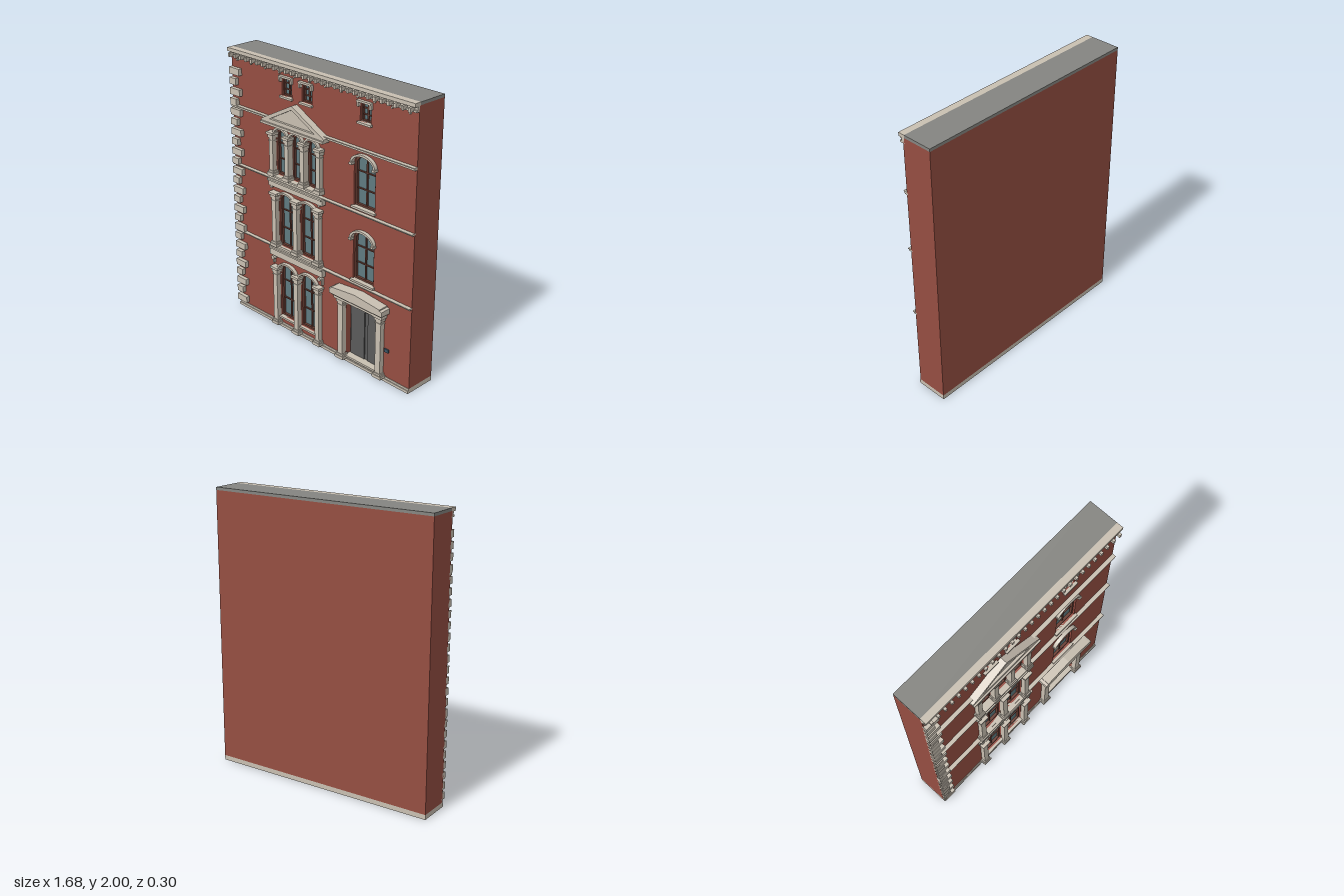
import * as THREE from 'three';

const mat = (name, color, side = THREE.FrontSide) => {
  const m = new THREE.MeshStandardMaterial({ color, side });
  m.name = name;
  return m;
};

export function createModel() {
  const brick = mat('brick', 0x954e42);
  const stone = mat('stone', 0xc9c0b2);
  const roofGrey = mat('roofGrey', 0x858581);
  const glass = mat('glass', 0x5f7a80);
  const wood = mat('frameBrown', 0x6a3f34);
  const doorGrey = mat('doorGrey', 0x5b5b5b);
  const plateBlue = mat('plateBlue', 0x3f5666);

  const root = new THREE.Group();
  root.name = 'townhouse';
  const WALL = 0.072, BACK = -0.153, HALF = 0.842;

  const add = (name, geo, m, parent = root) => {
    const mesh = new THREE.Mesh(geo, m);
    mesh.name = name;
    parent.add(mesh);
    return mesh;
  };
  const group = (name) => {
    const g = new THREE.Group();
    g.name = name;
    root.add(g);
    return g;
  };
  // Box given by its limits on each axis
  const box = (name, x0, x1, y0, y1, z0, z1, m = stone, parent = root) => {
    const b = add(name, new THREE.BoxGeometry(x1 - x0, y1 - y0, z1 - z0), m, parent);
    b.position.set((x0 + x1) / 2, (y0 + y1) / 2, (z0 + z1) / 2);
    return b;
  };
  const extrude = (name, shape, z0, z1, m = stone, parent = root) => {
    const e = add(name, new THREE.ExtrudeGeometry(shape, { depth: z1 - z0, bevelEnabled: false, curveSegments: 12 }), m, parent);
    e.position.z = z0;
    return e;
  };
  const poly = (pts) => new THREE.Shape(pts.map(([x, y]) => new THREE.Vector2(x, y)));
  // Opening outline: straight jambs with an elliptical head (rise 0 = rectangle)
  const opening = (P, cx, w, y0, y1, rise) => {
    const p = new P();
    p.moveTo(cx - w / 2, y0);
    p.lineTo(cx + w / 2, y0);
    p.lineTo(cx + w / 2, y1 - rise);
    if (rise) p.absellipse(cx, y1 - rise, w / 2, rise, 0, Math.PI, false);
    else p.lineTo(cx - w / 2, y1);
    p.closePath();
    return p;
  };

  // Openings: centre, width, bottom, top, arch rise
  const attic = [-0.29, -0.102, 0.417].map((x) => [x, 0.092, 1.768, 1.895, 0]);
  const triple = [-0.346, -0.197, -0.048].map((x) => [x, 0.116, 1.19, 1.53, 0.05]);
  const second = [-0.302, -0.092].map((x) => [x, 0.168, 0.655, 1.065, 0.05]);
  const first = [-0.302, -0.092].map((x) => [x, 0.168, 0.09, 0.52, 0.05]);
  const single = [[0.417, 0.182, 0.662, 1.02, 0.055], [0.417, 0.182, 1.19, 1.545, 0.055]];
  const windows = [...attic, ...triple, ...second, ...first, ...single];
  const door = [0.417, 0.3, 0.045, 0.468, 0];

  // Walls, roof and base
  const front = poly([[-HALF, 0.035], [HALF, 0.035], [HALF, 1.98], [-HALF, 1.98]]);
  [...windows, door].forEach((o) => front.holes.push(opening(THREE.Path, ...o)));
  extrude('frontWall', front, 0.02, WALL, brick);
  box('body', -HALF, HALF, 0.035, 1.98, BACK, 0.02, brick);
  box('roof', -HALF, HALF, 1.98, 2, BACK, 0.062, roofGrey);
  box('base', -HALF, HALF, 0, 0.02, BACK, 0.082);
  box('baseTop', -HALF, HALF, 0.02, 0.035, BACK, 0.076);

  // Windows: pane, frame and glazing bars
  windows.forEach(([cx, w, y0, y1, rise], i) => {
    const g = group('window' + (i + 1));
    const t = w < 0.1 ? 0.009 : 0.013;
    const pane = add('pane', new THREE.ShapeGeometry(opening(THREE.Shape, cx, w, y0, y1, rise)), glass, g);
    pane.position.z = 0.04;
    const ring = opening(THREE.Shape, cx, w, y0, y1, rise);
    ring.holes.push(opening(THREE.Path, cx, w - 2 * t, y0 + t, y1 - t, rise && rise - t * 0.4));
    extrude('frame', ring, 0.038, 0.058, wood, g);
    box('mullion', cx - 0.005, cx + 0.005, y0 + t, y1 - t, 0.038, 0.05, wood, g);
    for (const f of [1 / 3, 2 / 3]) {
      const y = y0 + (y1 - y0) * f;
      box('glazingBar', cx - w / 2 + t, cx + w / 2 - t, y - 0.004, y + 0.004, 0.038, 0.049, wood, g);
    }
  });

  // Sills and hood mouldings
  const sill = ([cx, w, y0], over = 0.012) =>
    box('sill', cx - w / 2 - over, cx + w / 2 + over, y0 - 0.014, y0, 0.04, 0.092);
  const archHood = ([cx, w, , y1, rise], t, drop, ear) => {
    const ys = y1 - rise, r = w / 2;
    const s = new THREE.Shape();
    s.moveTo(cx + r, ys - drop);
    s.lineTo(cx + r + t, ys - drop);
    s.lineTo(cx + r + t, ys);
    s.absellipse(cx, ys, r + t, rise + t, 0, Math.PI, false);
    s.lineTo(cx - r - t, ys - drop);
    s.lineTo(cx - r, ys - drop);
    s.lineTo(cx - r, ys);
    s.absellipse(cx, ys, r, rise, Math.PI, 0, true);
    s.closePath();
    extrude('archHood', s, WALL - 0.005, 0.098);
    if (ear) for (const d of [-1, 1]) {
      const x = cx + d * (r + 0.006);
      box('hoodStop', x - 0.012, x + 0.012, ys - drop - 0.008, ys - drop + 0.008, WALL, 0.104);
    }
  };
  attic.forEach((o) => {
    const [cx, w, , y1] = o, r = w / 2;
    sill(o);
    box('flatHood', cx - r - 0.014, cx + r + 0.014, y1, y1 + 0.013, WALL, 0.095);
    for (const d of [-1, 1]) {
      const x = cx + d * (r + 0.007);
      box('hoodEar', x - 0.007, x + 0.007, y1 - 0.03, y1, WALL, 0.092);
    }
  });
  [...triple, ...second, ...first].forEach((o) => { sill(o, 0); archHood(o, 0.014, 0.005, false); });
  single.forEach((o) => { sill(o); archHood(o, 0.015, 0.008, true); });

  // Pilasters with stepped bases and capitals
  const pilaster = (x, y0, y1, w, z = 0.106) => {
    const g = group('pilaster');
    const step = (name, k, a, b, dz) => box(name, x - (w * k) / 2, x + (w * k) / 2, a, b, WALL - 0.01, z + dz, stone, g);
    step('plinth', 1.7, y0, y0 + 0.022, 0.012);
    step('baseMould', 1.35, y0 + 0.022, y0 + 0.036, 0.006);
    step('shaft', 1, y0 + 0.036, y1 - 0.04, 0);
    step('neckRing', 1.2, y1 - 0.066, y1 - 0.058, 0.003);
    step('capital', 1.35, y1 - 0.042, y1 - 0.018, 0.006);
    step('abacus', 1.8, y1 - 0.018, y1, 0.014);
  };
  [-0.423, -0.272, -0.122, 0.029].forEach((x) => pilaster(x, 1.185, 1.498, 0.036));
  [-0.409, -0.197, 0.015].forEach((x) => {
    pilaster(x, 0.65, 1.06, 0.04);
    pilaster(x, 0.022, 0.485, 0.04);
  });
  [0.243, 0.591].forEach((x) => pilaster(x, 0.022, 0.5, 0.046, 0.108));

  // Belt courses and panels beneath the grouped windows
  [[1.577, 1.597], [1.146, 1.16], [0.627, 0.641]].forEach(([a, b]) => {
    box('beltCourse', -HALF, HALF, a, b, WALL - 0.01, 0.092);
    box('beltCap', -HALF, HALF, b - 0.006, b, WALL - 0.01, 0.1);
  });
  [[1.105, 1.155], [0.573, 0.636]].forEach(([a, b]) => {
    box('panel', -0.458, 0.068, a, b, WALL - 0.01, 0.106);
    box('panelCap', -0.458, 0.068, b - 0.012, b, WALL - 0.01, 0.116);
  });
  box('tripleSill', -0.452, 0.058, 1.178, 1.19, WALL - 0.01, 0.112);
  box('doubleSill', -0.445, 0.052, 0.641, 0.653, WALL - 0.01, 0.11);
  // Scroll brackets under the panels
  [[1.098, 0.009], [0.552, 0.015]].forEach(([y, r]) => [-0.429, 0.037].forEach((x) => {
    const c = add('scroll', new THREE.CylinderGeometry(r, r, 0.04, 16), stone);
    c.rotation.x = Math.PI / 2;
    c.position.set(x, y, 0.088);
    if (r > 0.01) {
      const d = x < -0.197 ? -1 : 1;
      box('scrollLeg', x + d * 0.012 - 0.005, x + d * 0.012 + 0.005, y - 0.05, y, WALL, 0.09);
    }
  }));

  // Pediment over the triple window
  const cx = -0.197;
  box('pedimentBase', cx - 0.298, cx + 0.298, 1.556, 1.572, WALL - 0.01, 0.134);
  const rake = poly([[cx - 0.298, 1.572], [cx + 0.298, 1.572], [cx + 0.298, 1.584], [cx, 1.738], [cx - 0.298, 1.584]]);
  rake.holes.push(poly([[cx - 0.215, 1.598], [cx + 0.215, 1.598], [cx, 1.71]]));
  extrude('pedimentRake', rake, WALL - 0.01, 0.122);
  extrude('tympanum', poly([[cx - 0.23, 1.59], [cx + 0.23, 1.59], [cx, 1.715]]), WALL - 0.01, 0.105);

  // Door with two leaves, transom, step and hood
  box('doorBack', 0.267, 0.567, 0.045, 0.468, 0.018, 0.026, doorGrey);
  box('transomRail', 0.267, 0.567, 0.412, 0.42, 0.02, 0.034, doorGrey);
  for (const d of [-1, 1]) {
    const x = 0.417 + d * 0.078;
    box('doorLeaf', x - 0.063, x + 0.063, 0.048, 0.412, 0.02, 0.034, doorGrey);
  }
  box('doorStep', 0.267, 0.567, 0.033, 0.047, 0.018, 0.085);
  box('doorLintel', 0.2, 0.635, 0.488, 0.515, WALL - 0.01, 0.125);
  box('doorFrieze', 0.192, 0.643, 0.512, 0.53, WALL - 0.01, 0.138);
  extrude('doorHood', poly([[0.178, 0.525], [0.656, 0.525], [0.656, 0.562], [0.635, 0.566], [0.635, 0.574],
    [0.417, 0.595], [0.199, 0.574], [0.199, 0.566], [0.178, 0.562]]), WALL - 0.01, 0.15);
  box('wallPlate', 0.625, 0.66, 0.228, 0.253, WALL, 0.081, plateBlue);

  // Corner quoins, alternately long and short
  for (let i = 0; i < 25; i++) {
    const y = 0.077 + i * 0.0734;
    box('quoin', -HALF, i % 2 ? -0.779 : -0.742, y - 0.024, y + 0.024, WALL - 0.01, 0.1);
  }

  // Cornice, brackets and the row of small bosses
  box('corniceTop', -HALF, HALF, 1.975, 2, 0.062, 0.11);
  box('corniceFascia', -HALF, HALF, 1.952, 1.975, 0.062, 0.086);
  box('corniceMould', -HALF, HALF, 1.94, 1.953, 0.06, 0.098);
  for (let i = 0; i < 30; i++) {
    const x = -0.808 + (i * 1.616) / 29;
    box('bracket', x - 0.009, x + 0.009, 1.943, 1.97, 0.07, 0.125);
  }
  for (let i = 0; i < 12; i++) {
    const b = add('boss', new THREE.CylinderGeometry(0.008, 0.008, 0.012, 8), stone);
    b.rotation.x = Math.PI / 2;
    b.position.set(-0.777 + i * 0.1412, 1.921, 0.077);
  }
  return root;
}
